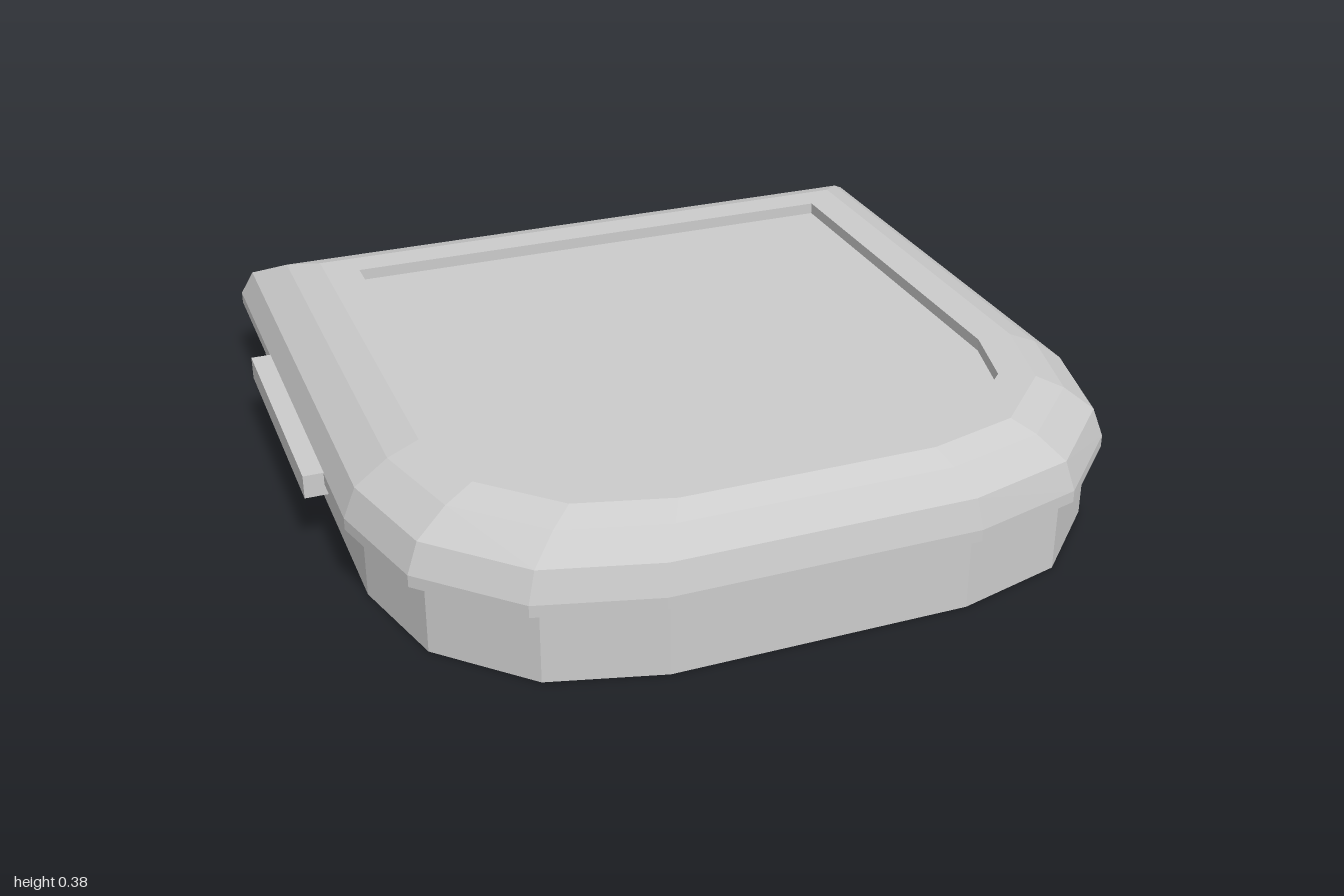
import * as THREE from 'three';

const material = new THREE.MeshStandardMaterial({ color: 0xcccccc, flatShading: true });

// D-shaped outline: square back corners, three-facet rounded front corners.
function outline({ y, halfWidth, back, front, flat }) {
  const arcZ = 0.39;
  const half = [new THREE.Vector3(halfWidth, y, back)];
  for (let i = 0; i <= 3; i++) {
    const a = (i * Math.PI) / 6;
    half.push(new THREE.Vector3(
      flat + (halfWidth - flat) * Math.cos(a), y, arcZ + (front - arcZ) * Math.sin(a)));
  }
  const mirrored = half.map((p) => new THREE.Vector3(-p.x, p.y, p.z)).reverse();
  return [...half, ...mirrored];
}

// Skins a stack of outlines, closing the chosen ends with a fan.
function loft(sections, capStart, capEnd) {
  const rings = sections.map(outline);
  const pos = [];
  const tri = (...pts) => pts.forEach((p) => pos.push(p.x, p.y, p.z));
  const n = rings[0].length;
  const first = rings[0];
  const last = rings[rings.length - 1];
  const centre = (ring) => new THREE.Vector3(0, ring[0].y, 0);
  for (let j = 0; j < n; j++) {
    const k = (j + 1) % n;
    for (let i = 0; i < rings.length - 1; i++) {
      const lo = rings[i], hi = rings[i + 1];
      tri(lo[j], hi[j], hi[k]);
      tri(lo[j], hi[k], lo[k]);
    }
    if (capStart) tri(centre(first), first[j], first[k]);
    if (capEnd) tri(centre(last), last[k], last[j]);
  }
  const geometry = new THREE.BufferGeometry();
  geometry.setAttribute('position', new THREE.Float32BufferAttribute(pos, 3));
  geometry.computeVertexNormals();
  return geometry;
}

export function createModel() {
  const model = new THREE.Group();
  const add = (name, geometry, x = 0, y = 0, z = 0) => {
    const mesh = new THREE.Mesh(geometry, material);
    mesh.name = name;
    mesh.position.set(x, y, z);
    model.add(mesh);
  };
  const section = (y, halfWidth, back, front, flat) => ({ y, halfWidth, back, front, flat });

  // Straight-walled base
  add('base', loft([
    section(0, 0.91, -0.885, 0.94, 0.365),
    section(0.185, 0.91, -0.885, 0.94, 0.365),
  ], true, false));

  // Overhanging lid: underside, rim, bevels, top border and recessed panel
  add('lid', loft([
    section(0.185, 0.91, -0.885, 0.94, 0.365),
    section(0.185, 0.95, -0.945, 0.96, 0.38),
    section(0.215, 0.95, -0.945, 0.96, 0.38),
    section(0.29, 0.92, -0.905, 0.942, 0.37),
    section(0.35, 0.84, -0.785, 0.89, 0.335),
    section(0.383, 0.765, -0.685, 0.845, 0.31),
    section(0.383, 0.675, -0.6, 0.76, 0.3),
    section(0.353, 0.675, -0.6, 0.76, 0.3),
  ], false, true));

  // Side grips and back tab
  for (const [name, side] of [['leftGrip', 1], ['rightGrip', -1]]) {
    add(name, new THREE.BoxGeometry(0.06, 0.06, 0.68), side * 0.97, 0.187, -0.17);
  }
  add('backTab', new THREE.BoxGeometry(0.83, 0.04, 0.03), 0, 0.196, -0.947);

  return model;
}
